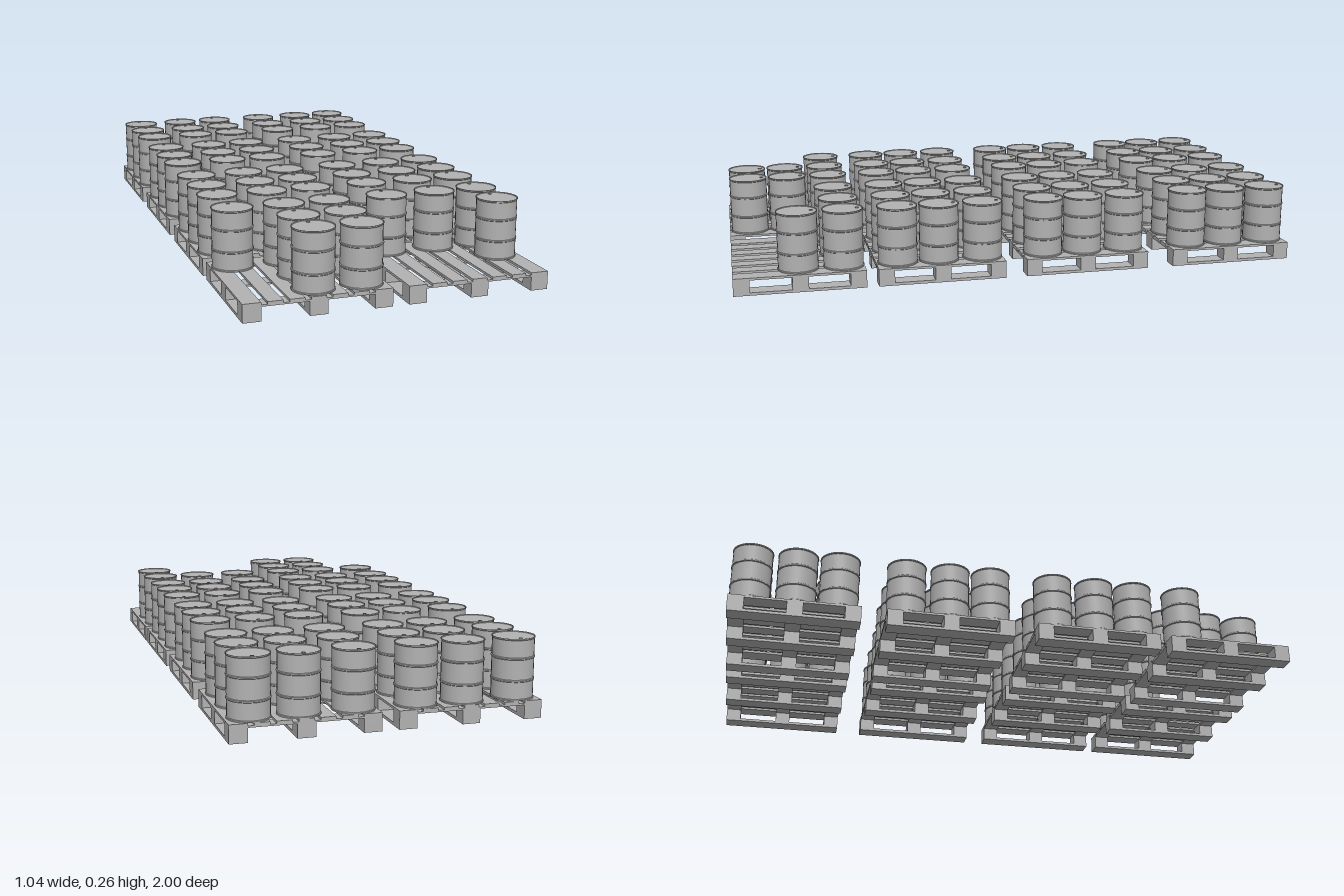
import * as THREE from 'three';
import { toCreasedNormals } from 'three/addons/utils/BufferGeometryUtils.js';

const PALLET_W = 0.49, PALLET_D = 0.447, DECK_Y = 0.061;

export function createModel() {
  const grey = new THREE.MeshStandardMaterial({ color: 0xb2b2b2 });
  grey.name = 'plain grey';

  // Drum body: one turned profile with rims, two hoops and a recessed lid
  const hoop = (y) => [[0.0685, y - 0.004], [0.071, y - 0.002], [0.071, y + 0.002], [0.0685, y + 0.004]];
  const profile = [
    [0, 0.002], [0.067, 0.002], [0.068, 0], [0.0705, 0], [0.0705, 0.004], [0.0685, 0.006],
    ...hoop(0.065), ...hoop(0.138),
    [0.0685, 0.198], [0.0705, 0.2], [0.0705, 0.204], [0.068, 0.204], [0.067, 0.201], [0, 0.201],
  ].map(([r, y]) => new THREE.Vector2(r, y));
  const drumGeometry = toCreasedNormals(new THREE.LatheGeometry(profile, 28), 0.6);
  const bungGeometry = new THREE.CylinderGeometry(0.006, 0.006, 0.003, 10);

  function mesh(name, geometry, parent, x, y, z) {
    const m = new THREE.Mesh(geometry, grey);
    m.name = name;
    m.position.set(x, y, z);
    parent.add(m);
    return m;
  }

  // Box given by its minimum corner and size
  function board(name, parent, x, y, z, w, h, d) {
    mesh(name, new THREE.BoxGeometry(w, h, d), parent, x + w / 2, y + h / 2, z + d / 2);
  }

  function createPallet() {
    const pallet = new THREE.Group();
    pallet.name = 'pallet';
    const blockW = 0.06, blockD = 0.055;
    const columns = [0, (PALLET_W - blockW) / 2, PALLET_W - blockW];
    const rows = [0, (PALLET_D - blockD) / 2, PALLET_D - blockD];
    // Bottom runners and the blocks standing on them
    for (const x of columns) {
      board('runner', pallet, x, 0, 0, blockW, 0.01, PALLET_D);
      for (const z of rows) board('block', pallet, x, 0.01, z, blockW, 0.037, blockD);
    }
    // Cross boards
    for (const z of rows) board('crossBoard', pallet, 0, 0.047, z, PALLET_W, 0.006, blockD);
    // Deck slats: wider at both edges
    for (let i = 0; i < 7; i++) {
      const x = i === 0 ? 0 : 0.01 + i * 0.07;
      board('deckSlat', pallet, x, 0.053, 0, i % 6 === 0 ? 0.06 : 0.05, 0.008, PALLET_D);
    }
    return pallet;
  }

  function createDrum() {
    const drum = new THREE.Group();
    drum.name = 'drum';
    mesh('drumBody', drumGeometry, drum, 0, 0, 0);
    mesh('bung', bungGeometry, drum, 0, 0.2025, -0.05);
    return drum;
  }

  // Each stack: pallet corner and the number of drums in each column, from the back
  const full = [3, 3, 3];
  const stacks = [
    { x: -0.52, z: -1, counts: full }, { x: 0.027, z: -1, counts: full },
    { x: -0.52, z: -0.465, counts: full }, { x: 0.027, z: -0.457, counts: full },
    { x: -0.52, z: 0.065, counts: full }, { x: 0.027, z: 0.065, counts: full },
    { x: -0.518, z: 0.553, counts: [1, 3, 3] }, { x: 0.027, z: 0.553, counts: [1, 1, 2] },
  ];
  const drumX = [0.073, 0.251, 0.411], drumZ = [0.07, 0.225, 0.371];

  const model = new THREE.Group();
  model.name = 'palletsOfDrums';
  for (const { x, z, counts } of stacks) {
    const stack = new THREE.Group();
    stack.name = 'loadedPallet';
    stack.position.set(x, 0, z);
    stack.add(createPallet());
    counts.forEach((count, column) => {
      for (let row = 0; row < count; row++) {
        const drum = createDrum();
        drum.position.set(drumX[column], DECK_Y, drumZ[row]);
        stack.add(drum);
      }
    });
    model.add(stack);
  }
  return model;
}
